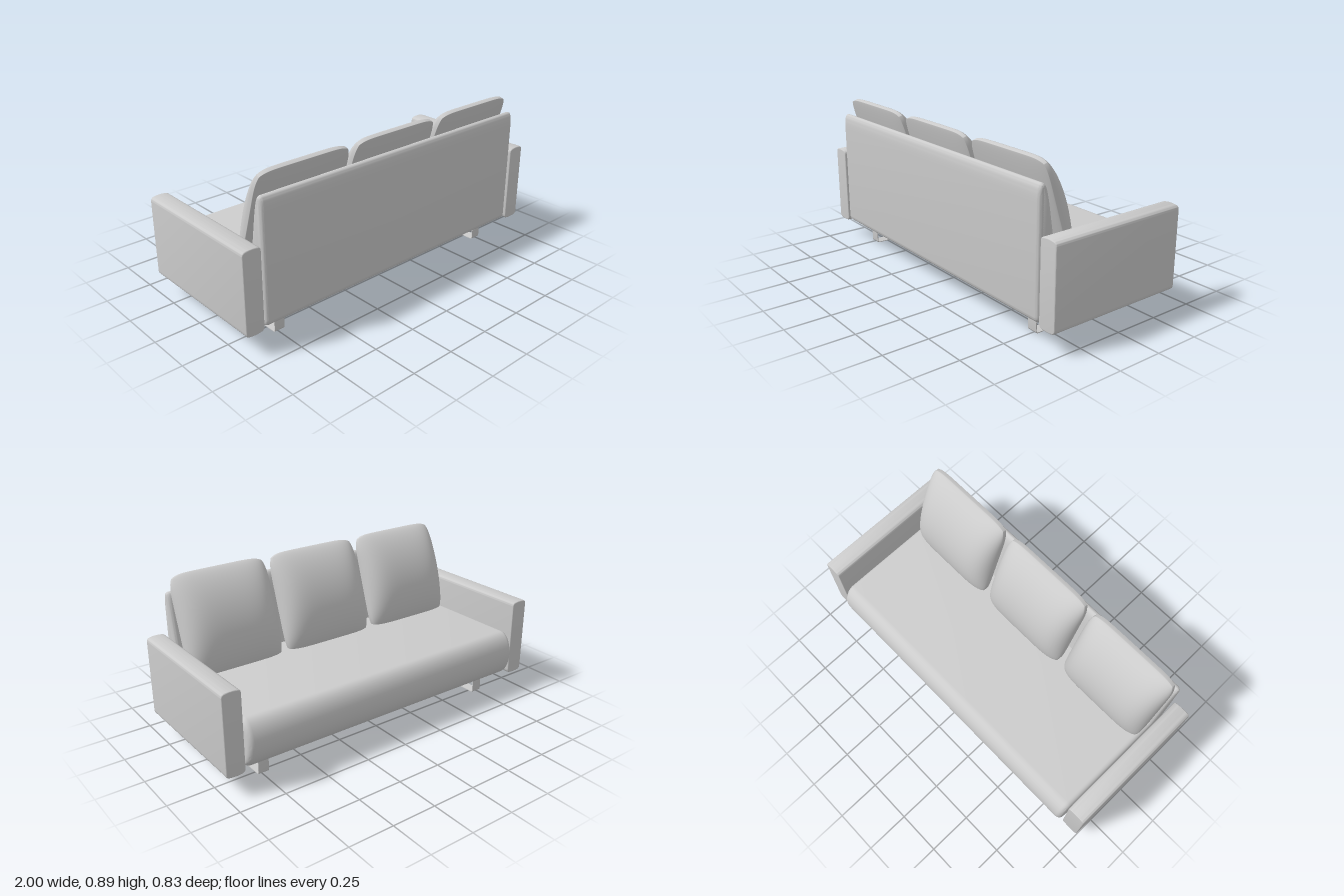
import * as THREE from 'three';
import { mergeVertices, toCreasedNormals } from 'three/addons/utils/BufferGeometryUtils.js';

const material = new THREE.MeshStandardMaterial({ color: 0xcccccc });

function addMesh(parent, name, geometry) {
  const mesh = new THREE.Mesh(geometry, material);
  mesh.name = name;
  parent.add(mesh);
  return mesh;
}

// Rounded rectangle between two corners
function roundRect(path, x0, y0, x1, y1, r) {
  path.moveTo(x0 + r, y0);
  path.lineTo(x1 - r, y0);
  path.quadraticCurveTo(x1, y0, x1, y0 + r);
  path.lineTo(x1, y1 - r);
  path.quadraticCurveTo(x1, y1, x1 - r, y1);
  path.lineTo(x0 + r, y1);
  path.quadraticCurveTo(x0, y1, x0, y1 - r);
  path.lineTo(x0, y0 + r);
  path.quadraticCurveTo(x0, y0, x0 + r, y0);
  return path;
}

// Extrusion centred on its own axis, with a softened rim kept inside the outline
function extrude(shape, length, bevel) {
  const geometry = new THREE.ExtrudeGeometry(shape, {
    depth: length - 2 * bevel,
    bevelEnabled: bevel > 0,
    bevelThickness: bevel,
    bevelSize: bevel,
    bevelOffset: -bevel,
    bevelSegments: 5,
    curveSegments: 12,
  });
  geometry.translate(0, 0, -(length - 2 * bevel) / 2);
  return toCreasedNormals(geometry, 0.6);
}

// Side profile (shape x runs towards -z) stretched across the width
function extrudeAcross(shape, width, bevel) {
  return extrude(shape, width, bevel).rotateY(Math.PI / 2);
}

// Loose cushion: flat back, domed front (local -z), rounded corners
function cushionGeometry(halfWidth, halfHeight) {
  let geometry = new THREE.BoxGeometry(2, 2, 2, 28, 28, 1);
  geometry.deleteAttribute('uv');
  geometry.deleteAttribute('normal');
  geometry = mergeVertices(geometry);
  const p = geometry.attributes.position;
  for (let i = 0; i < p.count; i++) {
    // Crowd the grid towards the rim
    const u = Math.sin(p.getX(i) * Math.PI / 2);
    const v = Math.sin(p.getY(i) * Math.PI / 2);
    const dome = Math.pow(Math.max(0, 1 - Math.abs(u) ** 5), 0.6) * Math.pow(Math.max(0, 1 - v * v), 0.7);
    const depth = p.getZ(i) < 0 ? 0.032 + 0.1 * dome : 0.012 - 0.015 * dome;
    p.setXYZ(i,
      u * halfWidth * (1 - 0.07 * v ** 8),
      v * halfHeight * (1 - 0.07 * u ** 8),
      -depth);
  }
  geometry.computeVertexNormals();
  return geometry;
}

export function createModel() {
  const sofa = new THREE.Group();
  sofa.name = 'sofa';

  // Seat with a bulging front edge
  const seat = new THREE.Shape();
  seat.moveTo(-0.36, 0.12);
  seat.lineTo(0.333, 0.12);
  seat.absellipse(0.333, 0.25, 0.08, 0.13, -Math.PI / 2, Math.PI / 2, false);
  seat.lineTo(-0.36, 0.38);
  seat.closePath();
  addMesh(sofa, 'seat', extrudeAcross(seat, 1.77, 0.03));

  // Backrest, tapering to a rounded top
  const back = new THREE.Shape();
  back.moveTo(-0.375, 0.12);
  back.lineTo(-0.25, 0.12);
  back.lineTo(-0.295, 0.38);
  back.lineTo(-0.325, 0.56);
  back.lineTo(-0.345, 0.68);
  back.bezierCurveTo(-0.36, 0.76, -0.37, 0.79, -0.39, 0.79);
  back.bezierCurveTo(-0.41, 0.79, -0.415, 0.76, -0.415, 0.7);
  back.lineTo(-0.415, 0.16);
  back.quadraticCurveTo(-0.415, 0.12, -0.375, 0.12);
  addMesh(sofa, 'backrest', extrudeAcross(back, 1.77, 0.02));

  // Armrests with slightly crowned top and bottom
  const arm = new THREE.Shape();
  arm.moveTo(-0.035, 0.115);
  arm.quadraticCurveTo(0, 0.109, 0.035, 0.115);
  arm.quadraticCurveTo(0.0525, 0.118, 0.0525, 0.14);
  arm.lineTo(0.0525, 0.535);
  arm.quadraticCurveTo(0.0525, 0.556, 0.035, 0.559);
  arm.quadraticCurveTo(0, 0.566, -0.035, 0.559);
  arm.quadraticCurveTo(-0.0525, 0.556, -0.0525, 0.535);
  arm.lineTo(-0.0525, 0.14);
  arm.quadraticCurveTo(-0.0525, 0.118, -0.035, 0.115);

  // Sled legs: thin flat bar bent into a closed loop
  const leg = roundRect(new THREE.Shape(), -0.32, 0, 0.285, 0.121, 0.015);
  leg.holes.push(roundRect(new THREE.Path(), -0.316, 0.004, 0.281, 0.115, 0.012));

  for (const side of [1, -1]) {
    const label = side > 0 ? 'left' : 'right';
    addMesh(sofa, label + 'Armrest', extrude(arm, 0.8, 0.006)).position.set(side * 0.9475, 0, 0.015);
    addMesh(sofa, label + 'SledLeg', extrudeAcross(leg, 0.06, 0)).position.x = side * 0.742;
  }

  // Three cushions leaning on the backrest
  const cushion = cushionGeometry(0.28, 0.285);
  ['right', 'middle', 'left'].forEach((label, i) => {
    const mesh = addMesh(sofa, label + 'BackCushion', cushion);
    mesh.position.set((i - 1) * 0.593, 0.6075, 0.2955);
    mesh.rotation.x = 0.315;
  });

  return sofa;
}
